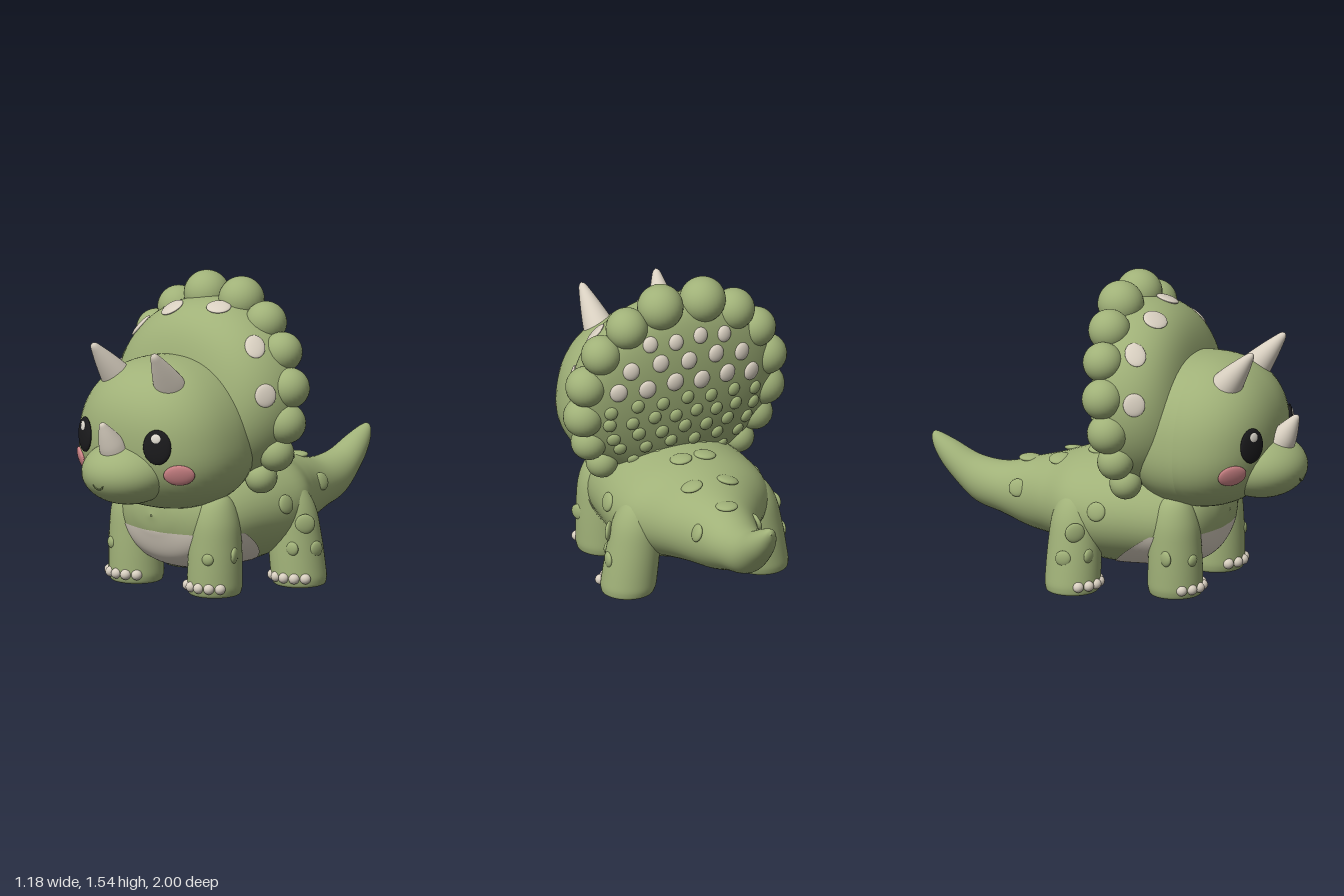
import * as THREE from 'three';

const V = (x, y, z) => new THREE.Vector3(x, y, z);

function paint(name, color) {
  const m = new THREE.MeshStandardMaterial({ color });
  m.name = name;
  return m;
}

function add(parent, name, geometry, material) {
  const mesh = new THREE.Mesh(geometry, material);
  mesh.name = name;
  parent.add(mesh);
  return mesh;
}

// Flattened ball whose short axis follows the normal
function spot(parent, name, material, pos, normal, rx, ry, depth) {
  const m = add(parent, name, new THREE.SphereGeometry(1, 24, 16), material);
  m.scale.set(rx, ry, depth);
  m.position.copy(pos);
  m.lookAt(pos.clone().add(normal));
  return m;
}

// Grid surface from a rule fn(i, j)
function surface(rows, cols, wrap, fn) {
  const pos = [], idx = [], n = wrap ? cols : cols + 1;
  for (let i = 0; i <= rows; i++) for (let j = 0; j < n; j++) pos.push(...fn(i / rows, j / cols).toArray());
  for (let i = 0; i < rows; i++) for (let j = 0; j < cols; j++) {
    const k = (j + 1) % n, a = i * n + j, b = a + n, c = i * n + k, d = c + n;
    idx.push(a, b, c, b, d, c);
  }
  const g = new THREE.BufferGeometry();
  g.setAttribute('position', new THREE.Float32BufferAttribute(pos, 3));
  g.setIndex(idx);
  g.computeVertexNormals();
  return g;
}

// Body and tail stations: z, centre y, half width, half height
const stations = [
  [0.6, 0.4, 0.005, 0.005], [0.58, 0.4, 0.14, 0.1], [0.52, 0.38, 0.27, 0.2], [0.4, 0.37, 0.36, 0.25],
  [0.2, 0.38, 0.4, 0.28], [0, 0.38, 0.41, 0.28], [-0.15, 0.395, 0.375, 0.245], [-0.3, 0.385, 0.27, 0.205],
  [-0.45, 0.375, 0.18, 0.175], [-0.6, 0.38, 0.135, 0.13], [-0.75, 0.41, 0.105, 0.115], [-0.88, 0.495, 0.075, 0.09],
  [-0.95, 0.55, 0.05, 0.065], [-0.985, 0.585, 0.028, 0.037], [-1, 0.6, 0.002, 0.002],
];
const pathA = new THREE.CatmullRomCurve3(stations.map(s => V(s[0], s[1], s[2])), false, 'catmullrom');
const pathB = new THREE.CatmullRomCurve3(stations.map(s => V(s[0], s[3], 0)), false, 'catmullrom');
function section(t) {
  const a = pathA.getPoint(t);
  return { z: a.x, cy: a.y, hw: Math.max(a.z, 0.001), hh: Math.max(pathB.getPoint(t).y, 0.001) };
}
function bodyPoint(s, angle, grow = 0) {
  return V((s.hw + grow) * Math.sin(angle), s.cy - (s.hh + grow) * Math.cos(angle), s.z);
}
function sectionAt(z) {
  let t = 0;
  while (t < 1 && section(t).z > z) t += 0.002;
  return section(t);
}

// Head: a squarish ball, wider at the cheeks
const P = 2.3, H = { y: 0.81, z: 0.48, rx: 0.44, ry: 0.375, rz: 0.385 };
const cheek = ny => H.rx * (1 - 0.12 * ny);
function headZ(x, y) {
  const ny = (y - H.y) / H.ry, nx = x / cheek(ny);
  return H.z + H.rz * Math.pow(Math.max(0, 1 - Math.abs(nx) ** P - Math.abs(ny) ** P), 1 / P);
}

// Frill: deep rounded front, shallow domed back
const frillFront = r => 0.31 * Math.sqrt(Math.max(0, 1 - r ** 4));
const frillBack = r => -0.15 * Math.sqrt(Math.max(0, 1 - r * r));
const frillSurf = (f, x, y) => f(Math.hypot(x, y / 0.91) / 0.53);

// Point and outward normal of a height field z = f(x, y)
function onField(f, x, y, dir) {
  const e = 0.004, z = f(x, y);
  const n = V(-(f(x + e, y) - f(x - e, y)) / (2 * e), -(f(x, y + e) - f(x, y - e)) / (2 * e), 1);
  return [V(x, y, z), n.multiplyScalar(dir).normalize()];
}

const lathe = (pts, seg = 40) => new THREE.LatheGeometry(
  new THREE.SplineCurve(pts.map(p => new THREE.Vector2(...p))).getPoints(40).map(p => p.set(Math.max(p.x, 0), p.y)), seg);

export function createModel() {
  const model = new THREE.Group();
  model.name = 'dinosaur';
  const green = paint('skin green', 0xa0b178);
  const cream = paint('horn cream', 0xd9d0c1);
  const black = paint('eye black', 0x1b1b1d);
  const pink = paint('cheek pink', 0xd2878a);
  const dark = paint('mouth green', 0x6f7f50);
  const white = paint('eye highlight', 0xeee9dd);

  // Body, tail and belly patch
  add(model, 'bodyAndTail', surface(100, 48, true, (u, v) => bodyPoint(section(u), v * Math.PI * 2)), green);
  add(model, 'belly', surface(60, 30, false, (u, v) => {
    const s = section(0.02 + u * 0.325);
    const level = Math.acos(THREE.MathUtils.clamp((s.cy - 0.325) / s.hh, -1, 1));
    const fade = Math.sqrt(THREE.MathUtils.clamp((s.z - 0.03) / 0.3, 0, 1));
    return bodyPoint(s, (v * 2 - 1) * level * fade, 0.005);
  }), cream);

  // Body bumps: z, angle from the belly, radius
  for (const [z, a, r] of [[-0.07, 2.98, 0.055], [-0.07, -2.98, 0.055], [-0.27, 2.8, 0.055], [-0.27, -2.8, 0.055],
    [-0.47, Math.PI, 0.055], [-0.47, 1.9, 0.045], [-0.47, -1.9, 0.045], [0.06, 1.75, 0.048], [0.06, -1.75, 0.048]]) {
    const s = sectionAt(z);
    spot(model, 'bodyBump', green, bodyPoint(s, a), V(Math.sin(a) / s.hw, -Math.cos(a) / s.hh, 0), r, r, 0.017);
  }

  // Legs with toes and bumps
  const legs = [
    { name: 'frontLeg', x: 0.26, y: 0.012, z: 0.42, r: 0.137, h: 0.53, lean: 0.02 },
    { name: 'backLeg', x: 0.365, y: 0, z: -0.09, r: 0.138, h: 0.52, lean: -0.14 },
  ];
  for (const side of [-1, 1]) for (const L of legs) {
    const leg = new THREE.Group();
    leg.name = L.name;
    leg.position.set(side * L.x, L.y, L.z);
    model.add(leg);
    const { r, h } = L;
    const g = lathe([[0, 0], [r * 0.8, 0.002], [r * 0.98, 0.03], [r, 0.1], [r * 0.96, 0.25], [r * 0.86, 0.38], [r * 0.55, h - 0.05], [0, h]]);
    const p = g.attributes.position;
    for (let i = 0; i < p.count; i++) p.setX(i, p.getX(i) + side * L.lean * p.getY(i));
    g.computeVertexNormals();
    add(leg, 'limb', g, green);
    for (let i = -2; i <= 2; i++) {
      const a = i * 0.42 + side * 0.1;
      spot(leg, 'toe', cream, V(Math.sin(a) * r * 0.98, 0.052, Math.cos(a) * r * 0.98), V(Math.sin(a), 0, Math.cos(a)), 0.027, 0.026, 0.026);
    }
    const bumps = L.name === 'frontLeg' ? [[1.55, 0.215, 0.04], [0.45, 0.2, 0.03]] : [[1.2, 0.32, 0.05], [1.6, 0.19, 0.04], [0.6, 0.2, 0.035]];
    for (const [a, y, br] of bumps) {
      const n = V(side * Math.sin(a), 0, Math.cos(a));
      spot(leg, 'legBump', green, V(n.x * r * 0.95 + side * L.lean * y, y, n.z * r * 0.95), n, br, br, 0.016);
    }
  }

  // Frill
  const frill = new THREE.Group();
  frill.name = 'frill';
  const profile = [];
  for (let i = 0; i <= 24; i++) {
    const r = Math.sin(i / 24 * Math.PI / 2);
    profile.push(new THREE.Vector2(r * 0.53, frillBack(r)));
  }
  for (let i = 23; i >= 0; i--) {
    const r = Math.sin(i / 24 * Math.PI / 2);
    profile.push(new THREE.Vector2(r * 0.53, frillFront(r)));
  }
  add(frill, 'frillShield', new THREE.LatheGeometry(profile, 64).rotateX(Math.PI / 2).scale(1, 0.91, 1), green);

  // Scalloped rim: x, y, radius
  for (const [x, y, r] of [[0.115, 0.48, 0.115], [0.29, 0.39, 0.105], [0.42, 0.26, 0.1], [0.49, 0.09, 0.102],
    [0.49, -0.085, 0.102], [0.45, -0.24, 0.09], [0.37, -0.37, 0.08]]) for (const side of [-1, 1]) {
    const m = add(frill, 'rimScallop', new THREE.SphereGeometry(r, 28, 20), green);
    m.position.set(side * x, y, 0);
  }

  // Cream spots on the frill front
  for (const [x, y, rx, ry] of [[-0.16, 0.4, 0.065, 0.06], [0.105, 0.44, 0.062, 0.058], [-0.38, 0.28, 0.052, 0.065],
    [0.38, 0.28, 0.052, 0.065], [-0.485, 0.05, 0.055, 0.058], [0.485, 0.05, 0.055, 0.058]])
    spot(frill, 'frillSpot', cream, ...onField((a, b) => frillSurf(frillFront, a, b), x, y, 1), rx, ry, 0.014);

  // Rows of knobs on the frill back: y, count, half span, radius, colour
  for (const [y, n, span, r, mat] of [[0.33, 4, 0.2, 0.038, cream], [0.225, 5, 0.3, 0.042, cream], [0.11, 6, 0.36, 0.044, cream],
    [0.01, 7, 0.39, 0.033, green], [-0.075, 8, 0.39, 0.033, green], [-0.16, 7, 0.36, 0.034, green],
    [-0.24, 6, 0.32, 0.032, green], [-0.32, 5, 0.24, 0.03, green]])
    for (let i = 0; i < n; i++) {
      const x = span * (2 * i / (n - 1) - 1), yy = y - 0.25 * x * x + (i % 2) * 0.012;
      spot(frill, 'backKnob', mat, ...onField((a, b) => frillSurf(frillBack, a, b), x, yy, -1), r, r * 1.1, 0.02);
    }
  frill.position.set(0, 0.95, 0.14);
  frill.rotation.x = -0.16;
  model.add(frill);

  // Head and muzzle
  const headGeo = new THREE.SphereGeometry(1, 56, 40), hp = headGeo.attributes.position, v = V(0, 0, 0);
  for (let i = 0; i < hp.count; i++) {
    v.fromBufferAttribute(hp, i);
    v.divideScalar((Math.abs(v.x) ** P + Math.abs(v.y) ** P + Math.abs(v.z) ** P) ** (1 / P));
    hp.setXYZ(i, v.x * cheek(v.y), H.y + v.y * H.ry, H.z + v.z * H.rz);
  }
  headGeo.computeVertexNormals();
  add(model, 'head', headGeo, green);
  const muzzle = add(model, 'muzzle', new THREE.SphereGeometry(1, 48, 32), green);
  muzzle.scale.set(0.23, 0.16, 0.23);
  muzzle.position.set(0, 0.65, 0.77);
  const smile = add(model, 'smile', new THREE.TorusGeometry(0.034, 0.004, 8, 24, Math.PI * 0.8), dark);
  smile.position.set(0, 0.625, 0.991);
  smile.rotation.set(0.15, 0, Math.PI * 1.1);

  // Eyes and blushing cheeks
  for (const side of [-1, 1]) {
    const [pos, n] = onField(headZ, side * 0.24, 0.812, 1);
    spot(model, 'eye', black, pos, n, 0.073, 0.088, 0.018);
    const [hpos, hn] = onField(headZ, side * 0.236, 0.855, 1);
    spot(model, 'eyeHighlight', white, hpos.addScaledVector(hn, 0.015), hn, 0.025, 0.024, 0.006);
    const [cpos, cn] = onField(headZ, side * 0.325, 0.672, 1);
    spot(model, 'cheekBlush', pink, cpos, cn, 0.078, 0.055, 0.017);
  }

  // Horns
  function horn(name, base, tip, r) {
    const axis = tip.clone().sub(base), h = axis.length();
    const m = add(model, name, lathe([[r, 0], [r * 0.88, h * 0.25], [r * 0.63, h * 0.55], [r * 0.36, h * 0.82], [r * 0.2, h * 0.95], [0, h]], 32), cream);
    m.position.copy(base);
    m.quaternion.setFromUnitVectors(V(0, 1, 0), axis.normalize());
  }
  for (const side of [-1, 1]) horn('browHorn', V(side * 0.168, 1.04, 0.62), V(side * 0.203, 1.275, 0.81), 0.086);
  horn('noseHorn', V(0, 0.775, 0.875), V(0, 0.925, 0.965), 0.07);

  return model;
}
